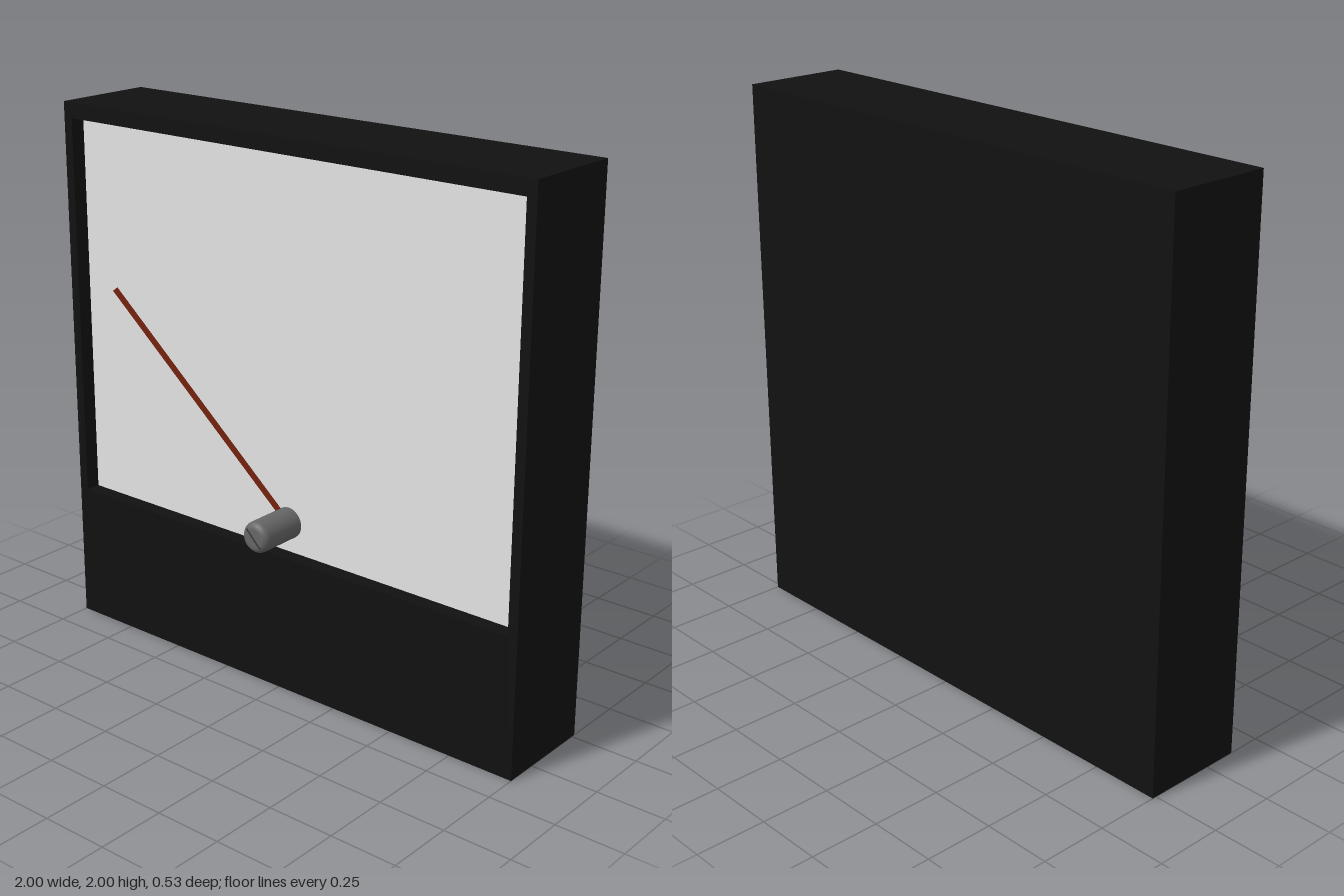
import * as THREE from 'three';

const paint = (name, color) => {
  const material = new THREE.MeshStandardMaterial({ color });
  material.name = name;
  return material;
};

export function createModel() {
  const model = new THREE.Group();
  model.name = 'panelMeter';

  const black = paint('black casing', 0x111111);
  const white = paint('white dial', 0xe3e3e3);
  const red = paint('dark red pointer', 0x7c2410);
  const grey = paint('grey metal', 0x666666);
  const dark = paint('dark slot', 0x3a3a3a);

  const add = (name, geometry, material, x = 0, y = 0, z = 0) => {
    const mesh = new THREE.Mesh(geometry, material);
    mesh.name = name;
    mesh.position.set(x, y, z);
    model.add(mesh);
    return mesh;
  };

  const back = -0.265, front = 0.123, dialZ = 0.065;

  // Solid casing behind the dial
  add('casing', new THREE.BoxGeometry(2, 2, dialZ - back), black, 0, 1, (dialZ + back) / 2);

  // Raised frame with the dial window cut out
  const outline = new THREE.Shape();
  outline.moveTo(-1, 0).lineTo(1, 0).lineTo(1, 2).lineTo(-1, 2).closePath();
  const opening = new THREE.Path();
  opening.moveTo(-0.963, 0.515).lineTo(-0.963, 1.943).lineTo(0.963, 1.943).lineTo(0.963, 0.515).closePath();
  outline.holes.push(opening);
  add('frame', new THREE.ExtrudeGeometry(outline, { depth: front - dialZ, bevelEnabled: false }), black, 0, 0, dialZ);

  // Recessed dial face
  add('dial', new THREE.PlaneGeometry(1.926, 1.428), white, 0, 1.229, dialZ + 0.002);

  // Pointer: a flat bar leaning out from the pivot to its tip
  const base = new THREE.Vector3(0, 0.63, 0.075);
  const tip = new THREE.Vector3(-0.63, 1.402, 0.26);
  const along = tip.clone().sub(base);
  const length = along.length();
  along.normalize();
  const across = new THREE.Vector3().crossVectors(along, new THREE.Vector3(0, 0, 1)).normalize();
  const outward = new THREE.Vector3().crossVectors(across, along);
  const pointer = add('pointer', new THREE.BoxGeometry(0.02, length, 0.008), red);
  pointer.position.copy(base).lerp(tip, 0.5);
  pointer.quaternion.setFromRotationMatrix(new THREE.Matrix4().makeBasis(across, along, outward));

  // Pivot screw with a rounded rim
  const profile = [new THREE.Vector2(0.057, 0)];
  const bevel = 0.025, height = 0.255 - dialZ;
  for (let i = 0; i <= 6; i++) {
    const a = (i / 6) * Math.PI / 2;
    profile.push(new THREE.Vector2(0.032 + bevel * Math.cos(a), height - bevel + bevel * Math.sin(a)));
  }
  profile.push(new THREE.Vector2(0, height));
  const screw = add('pivotScrew', new THREE.LatheGeometry(profile, 32), grey, 0, 0.625, dialZ);
  screw.rotation.x = Math.PI / 2;

  // Slot line across the screw head
  const slot = add('screwSlot', new THREE.BoxGeometry(0.085, 0.006, 0.004), dark, 0, 0.625, 0.2545);
  slot.rotation.z = -Math.PI / 4;

  return model;
}
